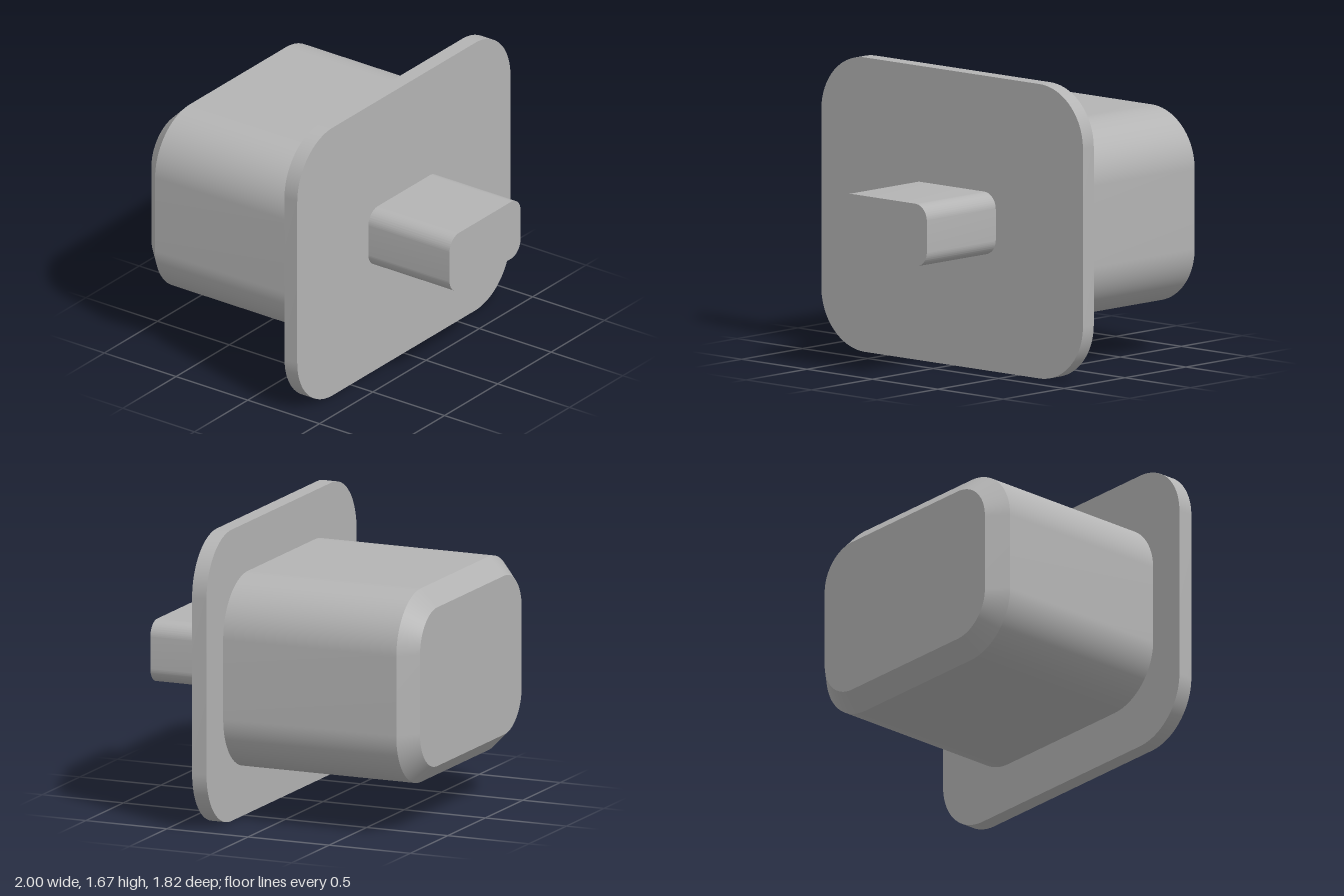
import * as THREE from 'three';
import { toCreasedNormals } from 'three/addons/utils/BufferGeometryUtils.js';

const CENTRE_Y = 0.835;

// Rounded rectangle centred on the origin
function roundedRect(w, h, r) {
  const x = w / 2 - r, y = h / 2 - r;
  const s = new THREE.Shape();
  s.absarc(x, y, r, 0, Math.PI / 2);
  s.absarc(-x, y, r, Math.PI / 2, Math.PI);
  s.absarc(-x, -y, r, Math.PI, Math.PI * 1.5);
  s.absarc(x, -y, r, Math.PI * 1.5, Math.PI * 2);
  s.closePath();
  return s;
}

// Rounded block from z = back to z = front, with an optional chamfer round its back end
function roundedBlock(w, h, r, back, front, chamfer = 0) {
  const depth = front - back;
  const geometry = new THREE.ExtrudeGeometry(roundedRect(w, h, r), {
    depth, steps: chamfer ? 2 : 1, bevelEnabled: false, curveSegments: 16,
  });
  if (chamfer) {
    const p = geometry.attributes.position;
    const shrink = (r - chamfer) / r;
    for (let i = 0; i < p.count; i++) {
      const z = p.getZ(i);
      if (z < 1e-6) {
        // back outline: inset evenly towards the straight-edged core
        const cx = THREE.MathUtils.clamp(p.getX(i), r - w / 2, w / 2 - r);
        const cy = THREE.MathUtils.clamp(p.getY(i), r - h / 2, h / 2 - r);
        p.setX(i, cx + (p.getX(i) - cx) * shrink);
        p.setY(i, cy + (p.getY(i) - cy) * shrink);
      } else if (z < depth - 1e-6) {
        p.setZ(i, chamfer);
      }
    }
  }
  geometry.translate(0, CENTRE_Y, back);
  return toCreasedNormals(geometry, 0.5);
}

export function createModel() {
  const model = new THREE.Group();
  model.name = 'flangedPlug';
  const grey = new THREE.MeshStandardMaterial({ color: 0xb4b4b4 });
  grey.name = 'grey';

  const add = (name, geometry) => {
    const mesh = new THREE.Mesh(geometry, grey);
    mesh.name = name;
    model.add(mesh);
  };

  add('flange', roundedBlock(2, 1.67, 0.333, 0.256, 0.345));
  add('plugBody', roundedBlock(1.556, 1.11, 0.33, -0.911, 0.256, 0.1));
  add('stem', roundedBlock(0.667, 0.355, 0.09, 0.345, 0.911));

  return model;
}
